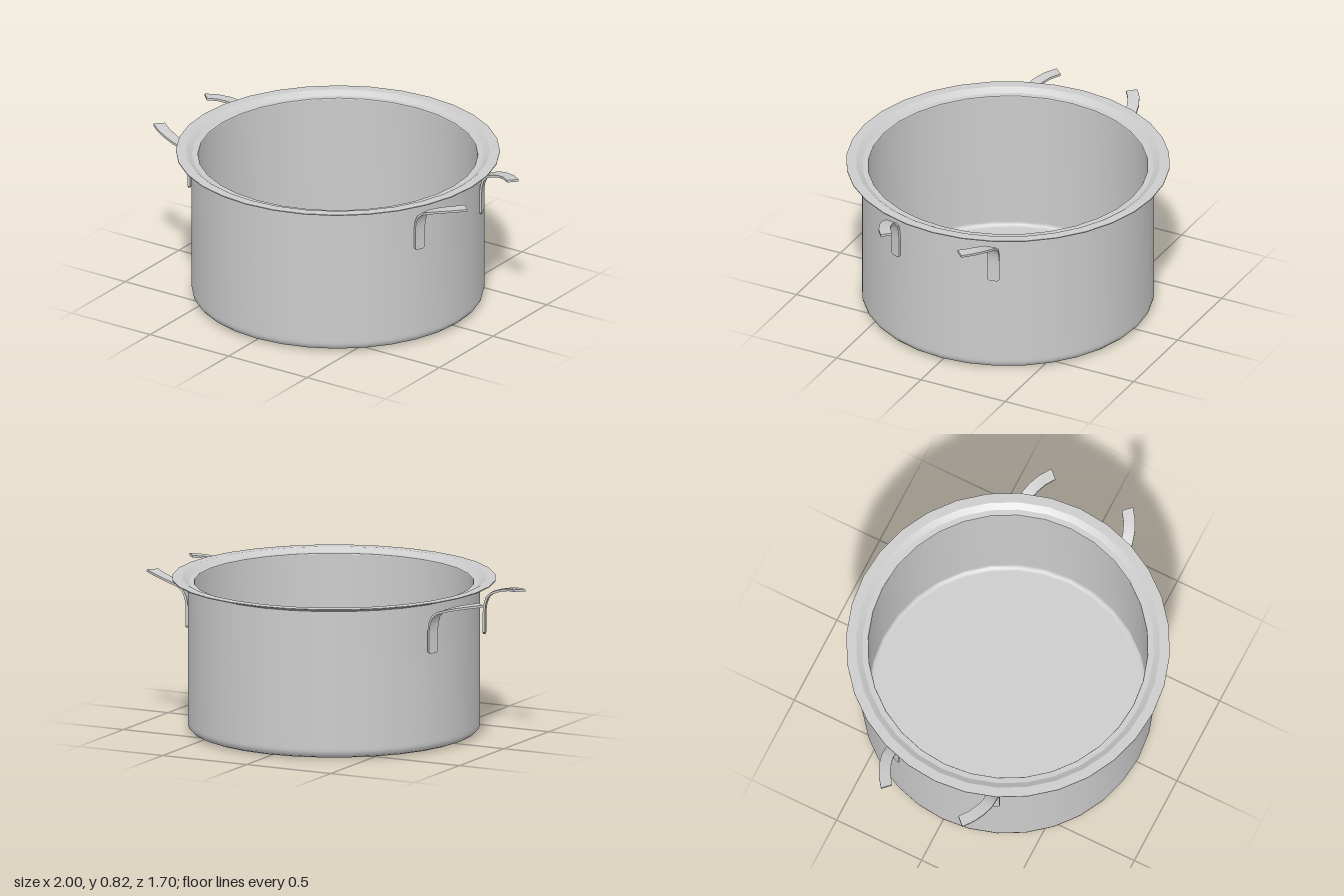
import * as THREE from 'three';
import { toCreasedNormals } from 'three/addons/utils/BufferGeometryUtils.js';

const material = new THREE.MeshStandardMaterial({ color: 0xcccccc });

// Pot parts as lathe profiles [radius, height]; together they close the skin
const POT_PARTS = [
  {
    name: 'outerWall',
    crease: 1.2,
    profile: [
      [0, 0], [0.68, 0], [0.7, 0.001], [0.73, 0.005], [0.753, 0.014],
      [0.766, 0.028], [0.77, 0.045], [0.77, 0.06], [0.77, 0.797],
    ],
  },
  {
    name: 'flaredRim',
    crease: 0.3,
    profile: [
      [0.77, 0.797], [0.776, 0.797], [0.806, 0.817], [0.852, 0.818],
      [0.852, 0.823], [0.8, 0.823], [0.767, 0.801], [0.737, 0.8], [0.735, 0.796],
    ],
  },
  {
    name: 'innerWallAndFloor',
    crease: 1.2,
    profile: [
      [0.735, 0.796], [0.735, 0.05], [0.735, 0.04], [0.732, 0.028],
      [0.722, 0.021], [0.71, 0.02], [0.7, 0.02], [0, 0.02],
    ],
  },
];

// Strap stations: centre x, y, z, half width, turn of the width direction in degrees
const STRAP = [
  [0.73, 0.54, 0.29, 0.021, -21],
  [0.73, 0.55, 0.29, 0.031, -21],
  [0.73, 0.655, 0.29, 0.031, -21],
  [0.735, 0.7, 0.291, 0.031, -19],
  [0.749, 0.738, 0.293, 0.031, -14],
  [0.775, 0.762, 0.295, 0.031, -6],
  [0.82, 0.778, 0.294, 0.031, 5],
  [0.87, 0.791, 0.28, 0.031, 20],
  [0.925, 0.801, 0.255, 0.031, 34],
  [0.978, 0.807, 0.217, 0.031, 44],
];
const THICKNESS = 0.012;

// Flat strap swept along the stations, mirrored by the signs sx and sz
function strapGeometry(sx, sz) {
  const centres = STRAP.map(([x, y, z]) => new THREE.Vector3(x, y, z));
  const positions = [];
  const index = [];
  const quad = (a, b, c, d) => (sx * sz > 0
    ? index.push(a, b, c, a, c, d)
    : index.push(a, c, b, a, d, c));

  STRAP.forEach(([, , , half, degrees], i) => {
    const before = centres[Math.max(i - 1, 0)];
    const after = centres[Math.min(i + 1, centres.length - 1)];
    const along = after.clone().sub(before).normalize();
    const turn = THREE.MathUtils.degToRad(degrees);
    const across = new THREE.Vector3(Math.sin(turn), 0, Math.cos(turn));
    const normal = along.clone().cross(across).normalize();
    for (const [u, v] of [[-1, -1], [1, -1], [1, 1], [-1, 1]]) {
      const p = centres[i].clone()
        .addScaledVector(across, u * half)
        .addScaledVector(normal, v * THICKNESS / 2);
      positions.push(p.x * sx, p.y, p.z * sz);
    }
  });

  // Four long sides, then the two end caps
  const last = (STRAP.length - 1) * 4;
  for (let s = 0; s < last; s += 4) {
    for (let k = 0; k < 4; k++) {
      const n = (k + 1) % 4;
      quad(s + k, s + n, s + 4 + n, s + 4 + k);
    }
  }
  quad(3, 2, 1, 0);
  quad(last, last + 1, last + 2, last + 3);

  const geometry = new THREE.BufferGeometry();
  geometry.setAttribute('position', new THREE.Float32BufferAttribute(positions, 3));
  geometry.setIndex(index);
  return toCreasedNormals(geometry, 0.7);
}

export function createModel() {
  const model = new THREE.Group();
  model.name = 'cookingPot';

  // Round vessel
  const vessel = new THREE.Group();
  vessel.name = 'vessel';
  vessel.position.x = 0.012;
  for (const { name, crease, profile } of POT_PARTS) {
    const points = profile.map(([r, y]) => new THREE.Vector2(r, y));
    const part = new THREE.Mesh(
      toCreasedNormals(new THREE.LatheGeometry(points, 32), crease),
      material,
    );
    part.name = name;
    vessel.add(part);
  }
  model.add(vessel);

  // Two pairs of curved handle straps
  for (const [sx, side] of [[1, 'left'], [-1, 'right']]) {
    const handle = new THREE.Group();
    handle.name = `${side}Handle`;
    for (const [sz, end] of [[1, 'Front'], [-1, 'Back']]) {
      const strap = new THREE.Mesh(strapGeometry(sx, sz), material);
      strap.name = `${side}${end}Strap`;
      handle.add(strap);
    }
    model.add(handle);
  }
  return model;
}
